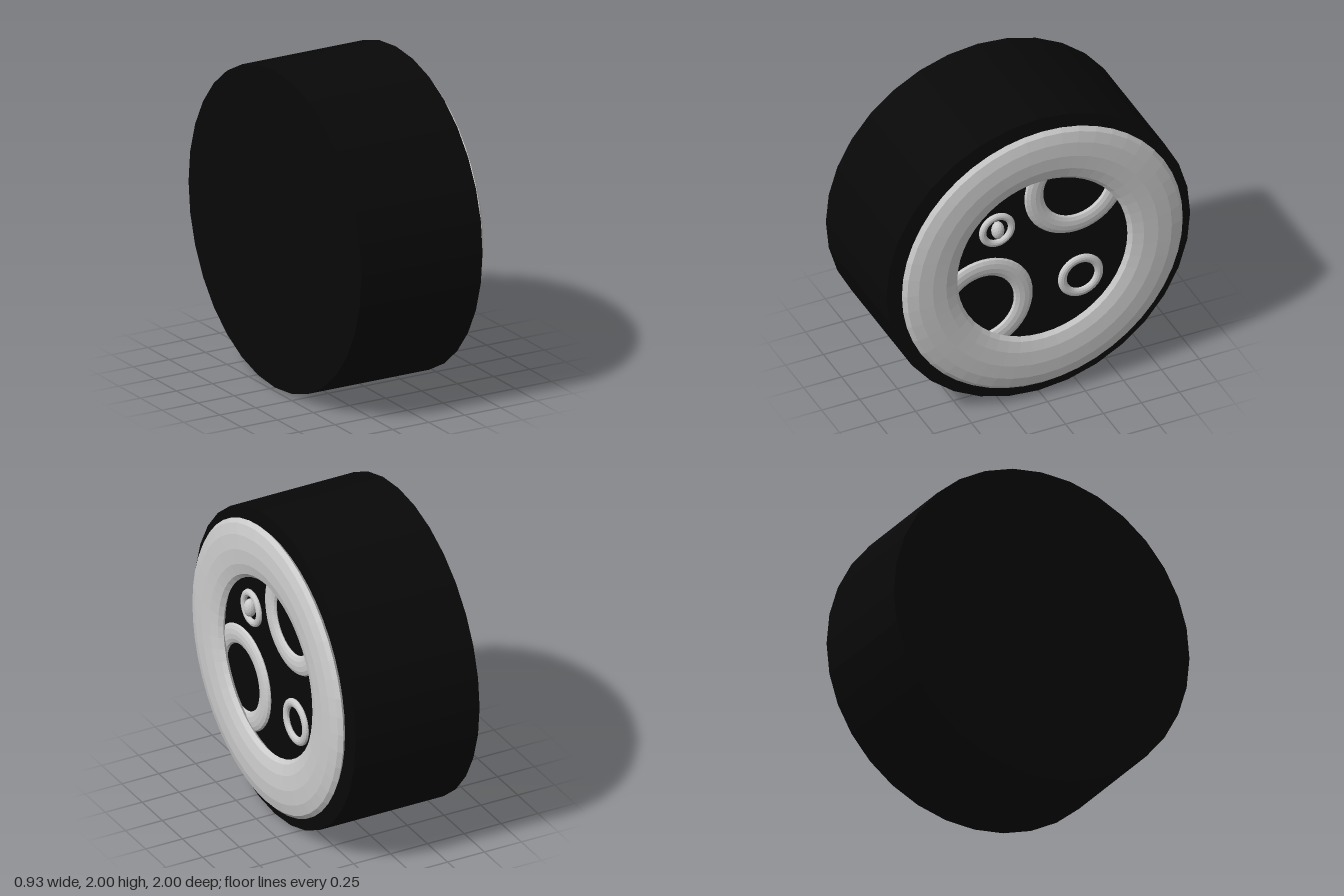
import * as THREE from 'three';

const grey = new THREE.MeshStandardMaterial({ color: 0xcccccc, flatShading: true });
const black = new THREE.MeshStandardMaterial({ color: 0x080808, flatShading: true });

// Flattened ring facing +x, given by its outer and inner radius
function ring(name, outer, inner, halfDepth, x, y, z) {
  const tube = (outer - inner) / 2;
  const geo = new THREE.TorusGeometry((outer + inner) / 2, tube, 12, 48);
  geo.scale(1, 1, halfDepth / tube);
  geo.rotateY(Math.PI / 2);
  const mesh = new THREE.Mesh(geo, grey);
  mesh.name = name;
  mesh.position.set(x, y, z);
  return mesh;
}

export function createModel() {
  const group = new THREE.Group();
  group.name = 'wheel';

  // Solid tyre drum lying along x
  const drum = new THREE.CylinderGeometry(1, 1, 0.84, 32);
  drum.rotateZ(Math.PI / 2);
  const tyre = new THREE.Mesh(drum, black);
  tyre.name = 'tyre';
  tyre.position.set(-0.047, 1, 0);
  group.add(tyre);

  // Broad rim and the smaller rings set on the face
  group.add(
    ring('rim', 0.925, 0.56, 0.048, 0.418, 1.013, -0.005),
    ring('upperLargeRing', 0.335, 0.21, 0.025, 0.38, 1.44, -0.24),
    ring('lowerLargeRing', 0.335, 0.21, 0.025, 0.38, 0.75, 0.375),
    ring('lowerSmallRing', 0.148, 0.092, 0.02, 0.38, 0.77, -0.275),
    ring('upperSmallRing', 0.118, 0.072, 0.02, 0.38, 1.275, 0.275)
  );

  // Oval stud inside the upper small ring
  const stud = new THREE.Mesh(new THREE.IcosahedronGeometry(1, 2), grey);
  stud.name = 'stud';
  stud.scale.set(0.04, 0.06, 0.04);
  stud.position.set(0.39, 1.28, 0.275);
  group.add(stud);

  return group;
}
